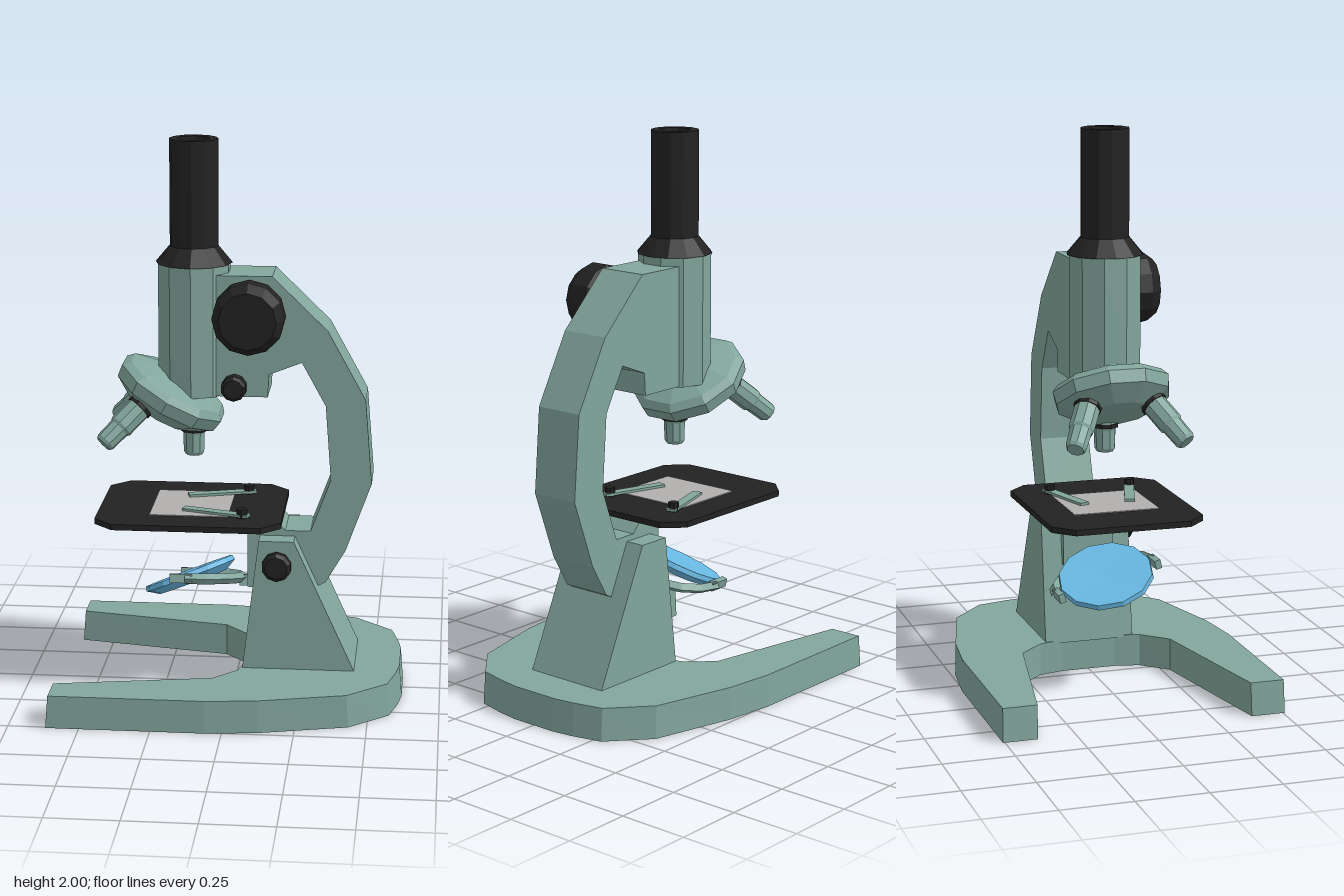
import * as THREE from 'three';

const paint = (name, color) => {
  const m = new THREE.MeshStandardMaterial({ color });
  m.name = name;
  return m;
};

export function createModel() {
  const model = new THREE.Group();
  const green = paint('sage enamel', 0x82a69c);
  const black = paint('black', 0x222222);
  const blue = paint('mirror blue', 0x68b8e2);
  const grey = paint('stage glass', 0xb2aeae);

  // Faceted mesh: unshared vertices give one normal per face
  const add = (name, geo, material, parent = model) => {
    const g = geo.index ? geo.toNonIndexed() : geo;
    g.computeVertexNormals();
    const mesh = new THREE.Mesh(g, material);
    mesh.name = name;
    parent.add(mesh);
    return mesh;
  };
  const lathe = (profile, sides) =>
    new THREE.LatheGeometry(profile.map(([r, y]) => new THREE.Vector2(r, y)), sides);
  const shapeOf = (pts) => new THREE.Shape(pts.map(([x, y]) => new THREE.Vector2(x, y)));
  // Side profile in x/y, centred in z
  const slab = (pts, width) =>
    new THREE.ExtrudeGeometry(shapeOf(pts), { depth: width, bevelEnabled: false })
      .translate(0, 0, -width / 2);
  // Plan outline in x/z, rising from y
  const plate = (pts, y, height) =>
    new THREE.ExtrudeGeometry(shapeOf(pts), { depth: height, bevelEnabled: false })
      .rotateX(-Math.PI / 2).translate(0, y, 0);

  // Horseshoe base, slightly narrower at the top
  const half = [
    [0.03, -0.19], [-0.055, -0.28], [-0.617, -0.385], [-0.617, -0.507], [-0.06, -0.507],
    [0.125, -0.485], [0.435, -0.405], [0.575, -0.28], [0.602, -0.17], [0.614, -0.09],
  ];
  const outline = [...half, ...half.map(([x, z]) => [x, -z]).reverse(), [0.05, 0.1], [0.05, -0.1]];
  const baseGeo = plate(outline, 0, 0.118);
  const bp = baseGeo.attributes.position;
  for (let i = 0; i < bp.count; i++) {
    if (bp.getY(i) > 0.05) bp.setXYZ(i, bp.getX(i) * 0.985, bp.getY(i), bp.getZ(i) * 0.995);
  }
  add('base', baseGeo, green);

  // Pillar and the curved arm it holds
  add('pillar', slab([[0.042, 0.11], [0.447, 0.11], [0.225, 0.595], [0.1, 0.595]], 0.33), green);
  add('arm', slab([
    [-0.06, 1.535], [-0.06, 1.103], [0.125, 1.103], [0.13, 1.185], [0.245, 1.23], [0.33, 1.075],
    [0.35, 0.805], [0.28, 0.615], [0.19, 0.615], [0.15, 0.66], [0.055, 0.66], [0.055, 0.4],
    [0.25, 0.38], [0.335, 0.425], [0.405, 0.545], [0.495, 0.795], [0.47, 1.1], [0.335, 1.345],
    [0.14, 1.535],
  ], 0.185), green);

  // Body tube and hollow eyepiece
  const tubeX = -0.142;
  add('bodyTube', lathe([[0, 1.1], [0.13, 1.1], [0.13, 1.565], [0, 1.565]], 10), green)
    .position.x = tubeX;
  add('eyepiece', lathe([
    [0, 1.56], [0.136, 1.565], [0.086, 1.625], [0.086, 2], [0.056, 2], [0.056, 1.95], [0, 1.95],
  ], 12), black).position.x = tubeX;

  // Tilted nosepiece
  const up = new THREE.Vector3(0, 1, 0);
  const axis = new THREE.Vector3(-0.5, -0.866, 0).normalize();
  const nose = add('nosepiece', lathe([
    [0, -0.04], [0.1, -0.03], [0.19, 0], [0.212, 0.025], [0.205, 0.07], [0.13, 0.12], [0, 0.125],
  ], 10), green);
  nose.position.set(-0.205, 1.125, 0);
  nose.quaternion.setFromUnitVectors(up, axis);

  // Three objectives spread around the nosepiece axis
  [0.37, 0.46, 0.46].forEach((length, i) => {
    const lens = new THREE.Group();
    lens.name = 'objective' + (i + 1);
    const dir = new THREE.Vector3(0, -1, 0).applyAxisAngle(axis, (i * Math.PI * 2) / 3);
    lens.position.set(-0.145, 1.235, 0);
    lens.quaternion.setFromUnitVectors(up, dir);
    const collar = length - 0.08;
    add('objectiveBarrel', lathe([
      [0, 0.2], [0.045, 0.2], [0.045, collar - 0.01], [0.039, collar], [0.037, length - 0.012],
      [0.03, length], [0, length],
    ], 9), green, lens);
    add('objectiveCollar', lathe([[0, 0.268], [0.049, 0.268], [0.049, 0.282], [0, 0.282]], 9), black, lens);
    model.add(lens);
  });

  // Knobs on the front side
  const knob = (name, x, y, profile, sides) =>
    add(name, lathe(profile, sides).rotateX(Math.PI / 2), black).position.set(x, y, 0);
  knob('focusKnob', 0.065, 1.405, [
    [0, 0.08], [0.1, 0.08], [0.1, 0.12], [0.127, 0.135], [0.127, 0.205], [0.1, 0.243], [0, 0.243],
  ], 12);
  knob('fineKnob', 0.008, 1.14, [[0, 0.08], [0.045, 0.08], [0.045, 0.135], [0.035, 0.147], [0, 0.147]], 10);
  knob('tiltKnob', 0.165, 0.505, [[0, 0.15], [0.053, 0.15], [0.053, 0.185], [0.04, 0.196], [0, 0.196]], 10);

  // Stage with chamfered corners and a glass window
  const [x0, x1, zw, c] = [-0.478, 0.182, 0.274, 0.068];
  add('stage', plate([
    [x0 + c, -zw], [x1 - c, -zw], [x1, -zw + c], [x1, zw - c],
    [x1 - c, zw], [x0 + c, zw], [x0, zw - c], [x0, -zw + c],
  ], 0.656, 0.021), black);
  add('stageWindow', new THREE.BoxGeometry(0.28, 0.004, 0.31), grey).position.set(-0.15, 0.678, 0);

  // Slide clips with their screws
  for (const s of [-1, 1]) {
    const clip = add('slideClip', new THREE.BoxGeometry(0.25, 0.009, 0.036), green);
    clip.position.set(-0.055, 0.685, s * 0.12);
    clip.rotation.y = -s * 0.3;
    add('clipScrew', new THREE.CylinderGeometry(0.019, 0.019, 0.035, 8), black)
      .position.set(0.04, 0.692, s * 0.15);
  }

  // Mirror in its fork
  const mirror = new THREE.Group();
  mirror.name = 'mirrorAssembly';
  mirror.position.set(-0.16, 0.405, 0);
  mirror.rotation.x = -0.26;
  const disc = add('mirror', lathe([
    [0, -0.025], [0.13, -0.025], [0.172, 0], [0.168, 0.018], [0, 0.012],
  ], 12), blue, mirror);
  disc.rotation.z = 0.38;
  add('mirrorFork', new THREE.TorusGeometry(0.19, 0.019, 4, 8, Math.PI)
    .rotateZ(-Math.PI / 2).rotateX(Math.PI / 2), green, mirror);
  for (const s of [-1, 1]) {
    add('forkEnd', new THREE.BoxGeometry(0.08, 0.032, 0.022), green, mirror)
      .position.set(-0.015, 0, s * 0.184);
  }
  add('forkStem', new THREE.BoxGeometry(0.09, 0.04, 0.05), green, mirror).position.set(0.225, -0.01, 0);
  model.add(mirror);

  return model;
}
